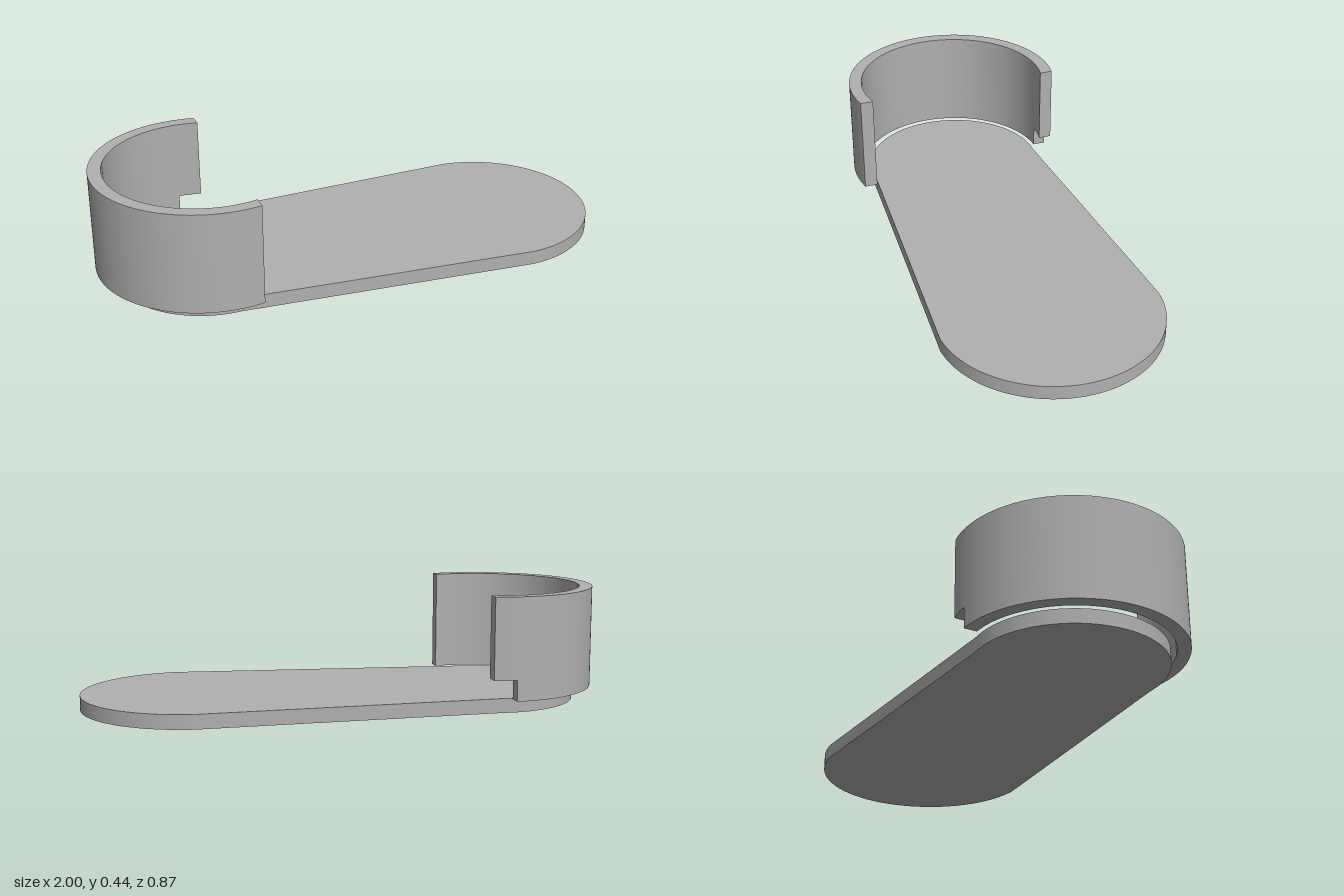
import * as THREE from 'three';
import { toCreasedNormals } from 'three/addons/utils/BufferGeometryUtils.js';

const BASE_TOP = 0.055, WALL_TOP = 0.445, NOTCH_TOP = 0.135;

// Extrude a plan outline (shape x, y = model x, -z) from height y0 to y1
function slab(name, shape, y0, y1, material) {
  const geometry = new THREE.ExtrudeGeometry(shape, {
    depth: y1 - y0, bevelEnabled: false, curveSegments: 48,
  });
  geometry.rotateX(-Math.PI / 2).translate(0, y0, 0);
  const mesh = new THREE.Mesh(toCreasedNormals(geometry, 0.5), material);
  mesh.name = name;
  return mesh;
}

// Two unequal circles joined by their outer tangents
function taperedOutline(a, ra, b, rb) {
  const axis = Math.atan2(a.y - b.y, a.x - b.x);
  const spread = Math.acos((ra - rb) / a.distanceTo(b));
  const shape = new THREE.Shape();
  shape.absarc(a.x, a.y, ra, axis - spread, axis + spread, false);
  shape.absarc(b.x, b.y, rb, axis + spread, axis - spread + 2 * Math.PI, false);
  shape.closePath();
  return shape;
}

// Part of a ring, with separate start and end angles for each radius
function ringSector(c, outer, inner, outerAngles, innerAngles) {
  const shape = new THREE.Shape();
  shape.absarc(c.x, c.y, outer, outerAngles[0], outerAngles[1], false);
  shape.absarc(c.x, c.y, inner, innerAngles[1], innerAngles[0], true);
  shape.closePath();
  return shape;
}

export function createModel() {
  const group = new THREE.Group();
  group.name = 'plateWithCurvedWall';
  const grey = new THREE.MeshStandardMaterial({ color: 0xb0b0b0 });
  grey.name = 'grey';

  // Tapered base plate with round ends
  const plate = taperedOutline(
    new THREE.Vector2(0.5775, -0.0125), 0.4225,
    new THREE.Vector2(-0.575, 0.016), 0.354,
  );
  group.add(slab('basePlate', plate, 0, BASE_TOP, grey));

  // Curved wall around the small end, both ends cut square at one x
  const centre = new THREE.Vector2(-0.577, 0.0135);
  const outer = 0.423, inner = 0.373, cut = 0.087;
  const endOuter = Math.acos(cut / outer), endInner = Math.acos(cut / inner);
  const back = Math.PI / 2, turn = 2 * Math.PI;
  const wall = ringSector(centre, outer, inner, [back, turn - endOuter], [back, turn - endInner]);
  group.add(slab('curvedWall', wall, BASE_TOP, WALL_TOP, grey));

  // Rear end of the wall, raised above a notch
  const tab = ringSector(centre, outer, inner, [endOuter, back], [endInner, back]);
  group.add(slab('wallTab', tab, NOTCH_TOP, WALL_TOP, grey));

  return group;
}
